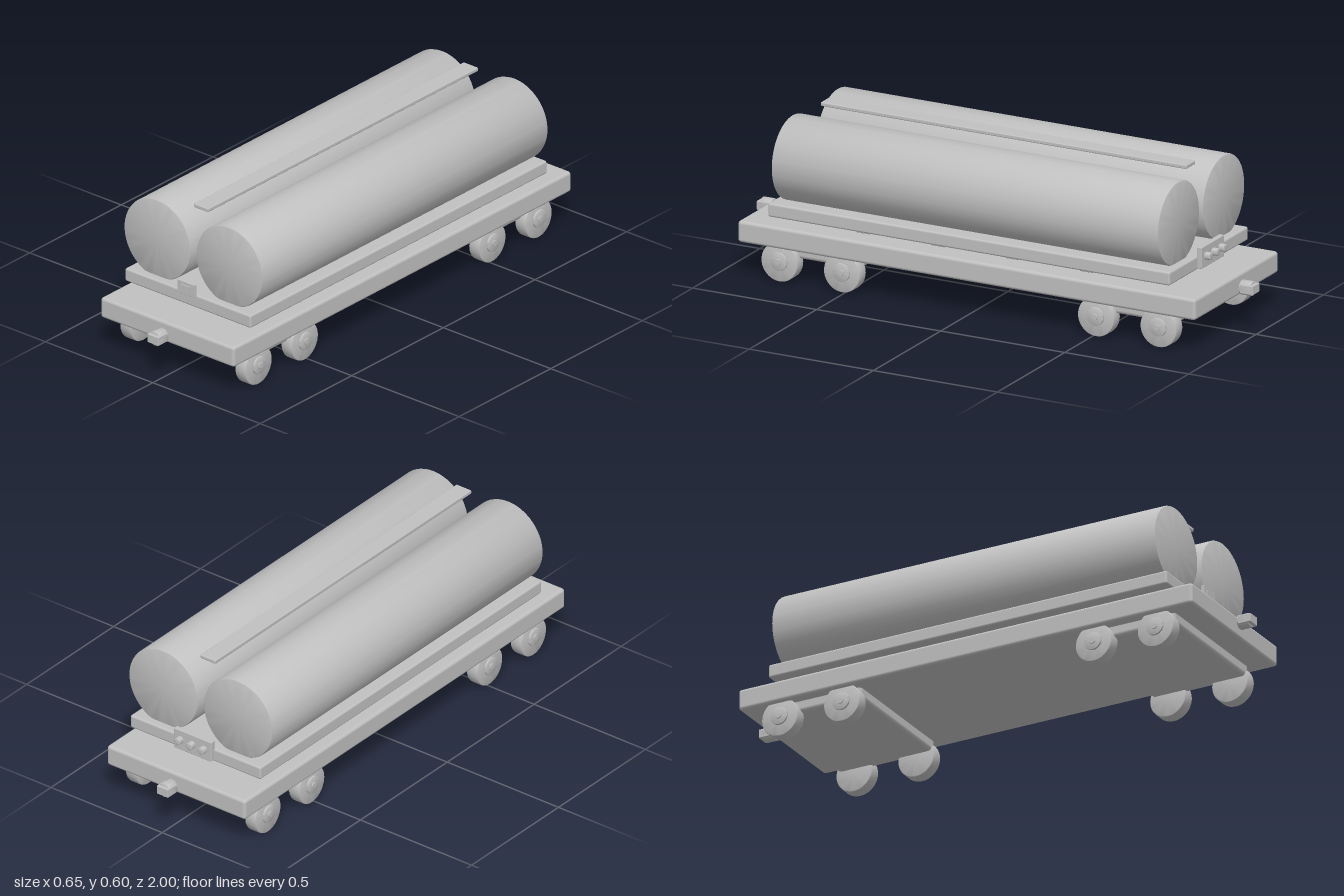
import * as THREE from 'three';
import { RoundedBoxGeometry } from 'three/addons/geometries/RoundedBoxGeometry.js';
import { toCreasedNormals } from 'three/addons/utils/BufferGeometryUtils.js';

export function createModel() {
  const model = new THREE.Group();
  model.name = 'tankWagon';
  const grey = new THREE.MeshStandardMaterial({ color: 0xc0c0c0 });
  grey.name = 'plain grey';

  const add = (name, geometry, x, y, z, parent = model) => {
    const mesh = new THREE.Mesh(geometry, grey);
    mesh.name = name;
    mesh.position.set(x, y, z);
    parent.add(mesh);
    return mesh;
  };
  // Box with softened edges
  const box = (w, h, d, r) => new RoundedBoxGeometry(w, h, d, 3, r);
  // Closed cylinder along y with bevelled rims
  const drum = (radius, length, bevel, sides) => {
    const h = length / 2;
    const profile = [
      [0, -h], [radius - bevel, -h], [radius - bevel * 0.3, -h + bevel * 0.3], [radius, -h + bevel],
      [radius, h - bevel], [radius - bevel * 0.3, h - bevel * 0.3], [radius - bevel, h], [0, h],
    ].map(([x, y]) => new THREE.Vector2(x, y));
    return toCreasedNormals(new THREE.LatheGeometry(profile, sides), 0.6);
  };
  const alongX = (g) => g.rotateZ(Math.PI / 2);
  const alongZ = (g) => g.rotateX(Math.PI / 2);

  // Chassis and upper deck
  add('chassis', box(0.622, 0.08, 1.845, 0.012), 0, 0.168, 0);
  add('deck', box(0.586, 0.051, 1.62, 0.008), 0, 0.2615, 0);

  // Small pads under the deck
  for (const side of [-1, 1])
    for (const z of [-0.45, -0.15, 0.15, 0.45])
      add('deckPad', box(0.043, 0.022, 0.055, 0.003), side * 0.225, 0.228, z);

  // Twin tanks with a walkway between them
  const tank = alongZ(drum(0.155, 1.56, 0.007, 64));
  for (const side of [-1, 1]) add('tank', tank, side * 0.168, 0.43, 0);
  add('walkway', box(0.068, 0.015, 1.475, 0.004), 0, 0.592, 0);

  // Bogies: frame, four wheels, hubs and axle caps
  const wheel = alongX(drum(0.073, 0.05, 0.005, 40));
  const hub = alongX(drum(0.034, 0.016, 0.002, 32));
  const cap = alongX(drum(0.012, 0.012, 0.002, 20));
  for (const end of [-1, 1]) {
    const bogie = new THREE.Group();
    bogie.name = end > 0 ? 'frontBogie' : 'backBogie';
    bogie.position.z = end * 0.638;
    model.add(bogie);
    add('bogieFrame', box(0.536, 0.062, 0.38, 0.015), 0, 0.119, 0, bogie);
    for (const side of [-1, 1])
      for (const z of [-0.126, 0.126]) {
        add('wheel', wheel, side * 0.268, 0.073, z, bogie);
        add('wheelHub', hub, side * 0.292, 0.076, z, bogie);
        add('axleCap', cap, side * 0.298, 0.076, z, bogie);
      }

    // Couplers
    add('couplerDisc', alongZ(drum(0.027, 0.045, 0.002, 28)), 0, 0.169, end * 0.966);
    add('couplerHead', box(0.052, 0.034, 0.052, 0.003), 0, 0.169, end * 0.974);
  }

  // Control box on the front edge of the deck
  add('controlBox', box(0.08, 0.051, 0.014, 0.002), 0, 0.304, 0.813);
  add('controlPlate', new THREE.BoxGeometry(0.043, 0.026, 0.008), 0, 0.304, 0.82);

  // Valve panel with three knobs on the back edge
  add('valvePanel', box(0.168, 0.08, 0.02, 0.003), 0, 0.28, -0.816);
  const knob = alongZ(drum(0.014, 0.024, 0.002, 24));
  for (const x of [-0.053, 0, 0.053]) add('valveKnob', knob, x, 0.283, -0.837);

  return model;
}
